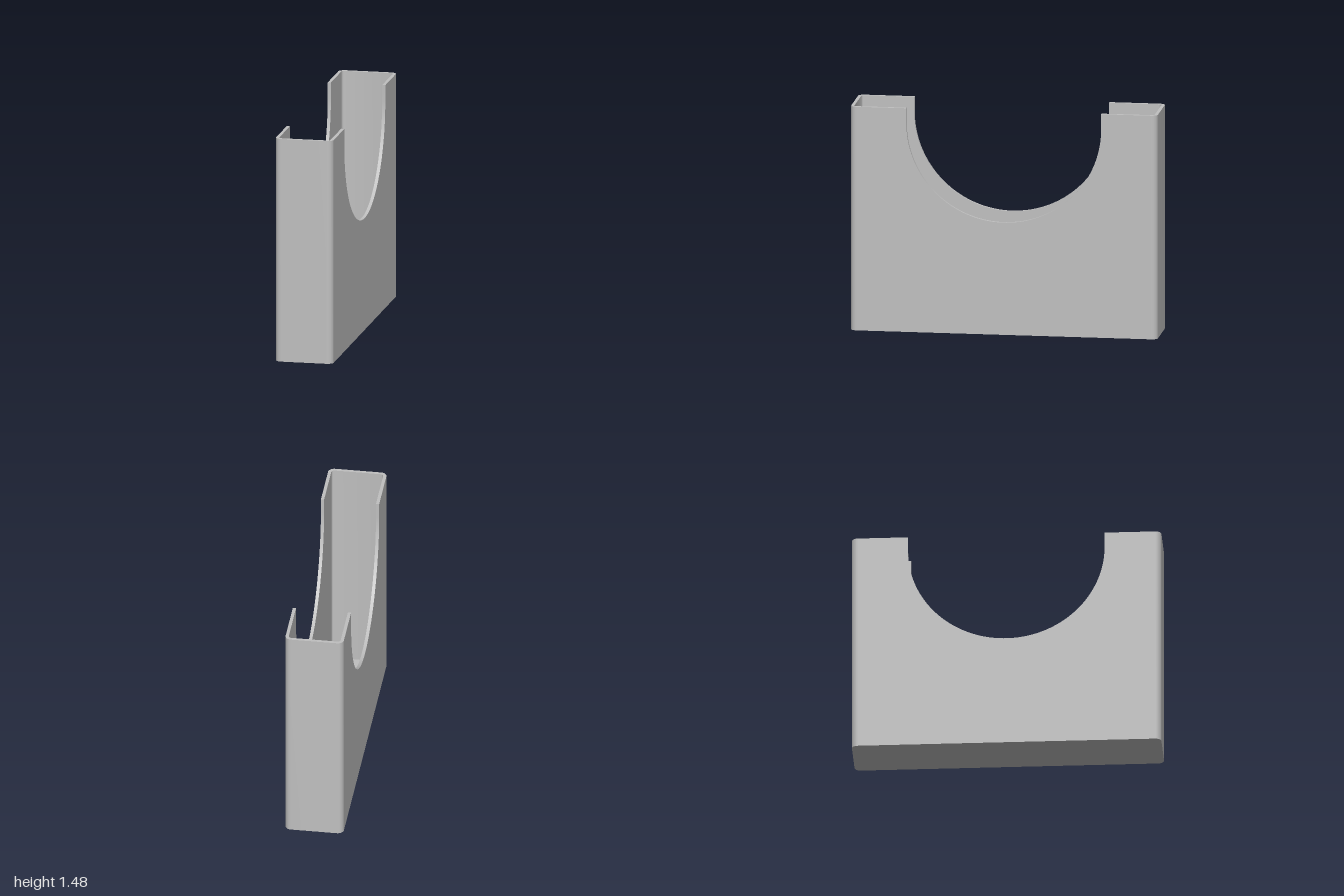
import * as THREE from 'three';
import { toCreasedNormals } from 'three/addons/utils/BufferGeometryUtils.js';

const W = 0.19, L = 1, H = 1.475;   // half width, half length, height
const T = 0.021, R = 0.04;          // wall thickness, outer corner radius
const CUT_R = 0.635, CUT_Y = 1.375; // radius and centre height of the round cutout

function extrude(shape, depth, curveSegments) {
  const g = new THREE.ExtrudeGeometry(shape, { depth, bevelEnabled: false, curveSegments });
  return toCreasedNormals(g, 0.5);
}

// Long wall outline with a U-shaped cutout from the top
function sideWallGeometry() {
  const e = L - R;
  const s = new THREE.Shape();
  s.moveTo(-e, 0);
  s.lineTo(e, 0);
  s.lineTo(e, H);
  s.lineTo(CUT_R, H);
  s.lineTo(CUT_R, CUT_Y);
  s.absarc(0, CUT_Y, CUT_R, 0, -Math.PI, true);
  s.lineTo(-CUT_R, H);
  s.lineTo(-e, H);
  s.closePath();
  return extrude(s, T, 64).rotateY(Math.PI / 2);
}

// End wall with its two rounded corners, as a plan extruded upward
function endWallGeometry() {
  const x = W - R, y = L - R, r = R - T;
  const s = new THREE.Shape();
  s.moveTo(W, y);
  s.absarc(x, y, R, 0, Math.PI / 2, false);
  s.absarc(-x, y, R, Math.PI / 2, Math.PI, false);
  s.lineTo(-W + T, y);
  s.absarc(-x, y, r, Math.PI, Math.PI / 2, true);
  s.absarc(x, y, r, Math.PI / 2, 0, true);
  s.closePath();
  return extrude(s, H, 10).rotateX(-Math.PI / 2);
}

// Floor plate fitting inside the walls
function floorGeometry() {
  const x = W - R, y = L - R, r = R - T;
  const s = new THREE.Shape();
  s.absarc(x, y, r, 0, Math.PI / 2, false);
  s.absarc(-x, y, r, Math.PI / 2, Math.PI, false);
  s.absarc(-x, -y, r, Math.PI, Math.PI * 1.5, false);
  s.absarc(x, -y, r, Math.PI * 1.5, Math.PI * 2, false);
  s.closePath();
  return extrude(s, T, 10).rotateX(-Math.PI / 2);
}

export function createModel() {
  const group = new THREE.Group();
  group.name = 'openHolder';
  const grey = new THREE.MeshStandardMaterial({ color: 0xc0c0c0 });
  grey.name = 'grey';

  const add = (name, geometry) => {
    const mesh = new THREE.Mesh(geometry, grey);
    mesh.name = name;
    group.add(mesh);
    return mesh;
  };

  const side = sideWallGeometry();
  add('leftWall', side).position.x = W - T;
  add('rightWall', side).position.x = -W;

  const end = endWallGeometry();
  add('backWall', end);
  add('frontWall', end).rotation.y = Math.PI;

  add('floor', floorGeometry());
  return group;
}
